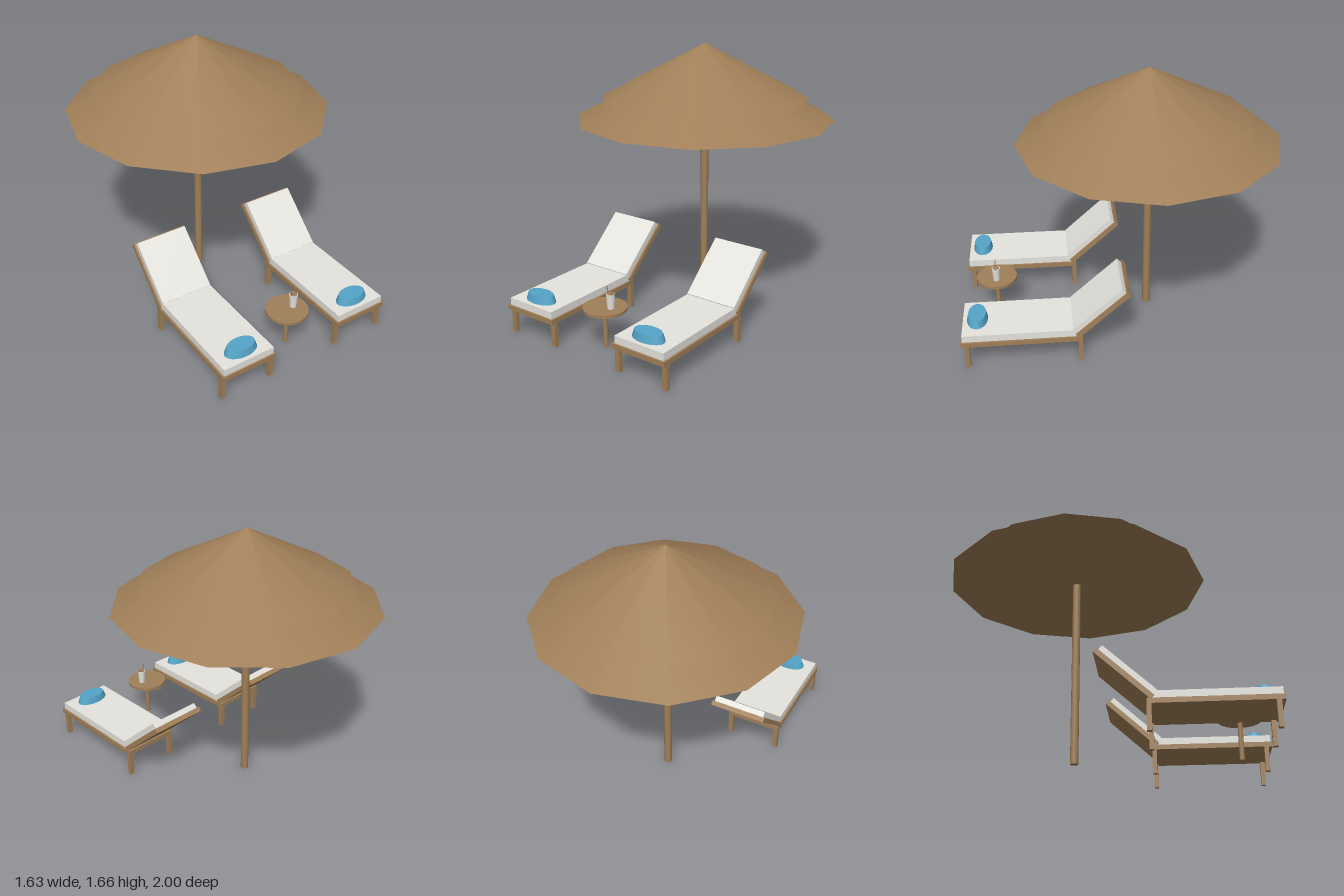
import * as THREE from 'three';

const mat = (name, color) => {
  const m = new THREE.MeshStandardMaterial({ color });
  m.name = name;
  return m;
};

export function createModel() {
  const wood = mat('wood', 0xa07f58);
  const fabric = mat('fabric', 0xe4e3dd);
  const blue = mat('blue', 0x54a5c8);

  const add = (parent, name, geometry, material, x, y, z) => {
    const m = new THREE.Mesh(geometry, material);
    m.name = name;
    m.position.set(x, y, z);
    parent.add(m);
    return m;
  };
  const box = (w, h, d) => new THREE.BoxGeometry(w, h, d);
  const cyl = (top, bottom, h, sides) => new THREE.CylinderGeometry(top, bottom, h, sides);

  const model = new THREE.Group();
  model.name = 'beachSet';

  // Two-tier thatched parasol
  const parasol = new THREE.Group();
  parasol.name = 'parasol';
  parasol.position.z = -0.185;
  add(parasol, 'pole', cyl(0.025, 0.025, 1.3, 12), wood, 0, 0.65, 0);
  add(parasol, 'lowerCanopy', new THREE.ConeGeometry(0.815, 0.41, 12), wood, 0, 1.395, 0);
  add(parasol, 'upperCanopy', new THREE.ConeGeometry(0.65, 0.34, 12), wood, 0, 1.49, 0);
  model.add(parasol);

  // Sun loungers, one on each side
  for (const side of [-1, 1]) {
    const lounger = new THREE.Group();
    lounger.name = side > 0 ? 'leftLounger' : 'rightLounger';
    lounger.position.x = side * 0.409;
    add(lounger, 'seatFrame', box(0.362, 0.03, 0.73), wood, 0, 0.165, 0.635);
    add(lounger, 'seatCushion', box(0.338, 0.045, 0.69), fabric, 0, 0.2025, 0.645);
    for (const x of [-0.164, 0.164])
      for (const z of [0.282, 0.963])
        add(lounger, 'leg', box(0.031, 0.15, 0.027), wood, x, 0.075, z);

    // Reclined backrest, hinged at the rear of the seat
    const back = new THREE.Group();
    back.name = 'backrest';
    back.position.set(0, 0.175, 0.29);
    back.rotation.x = 0.742;
    add(back, 'backFrame', box(0.362, 0.03, 0.42), wood, 0, 0.015, -0.21);
    add(back, 'backCushion', box(0.338, 0.035, 0.4), fabric, 0, 0.0475, -0.21);
    lounger.add(back);

    // Oval folded towel
    const towel = add(lounger, 'towel', cyl(0.09, 0.106, 0.045, 20), blue, 0, 0.2475, 0.902);
    towel.scale.z = 0.6;
    model.add(lounger);
  }

  // Round side table
  const table = new THREE.Group();
  table.name = 'sideTable';
  table.position.z = 0.795;
  add(table, 'tableTop', cyl(0.13, 0.13, 0.018, 24), wood, 0, 0.248, 0);
  add(table, 'tableLeg', cyl(0.015, 0.015, 0.24, 10), wood, 0, 0.12, 0);

  // Drink with a garnish and a straw
  add(table, 'cup', cyl(0.027, 0.021, 0.09, 14), fabric, 0.045, 0.302, 0);
  add(table, 'drink', cyl(0.022, 0.022, 0.004, 14), wood, 0.045, 0.348, 0);
  const straw = add(table, 'straw', cyl(0.0035, 0.0035, 0.06, 6), wood, 0.029, 0.36, 0.004);
  straw.rotation.z = 0.25;
  const garnish = add(table, 'garnish', cyl(0.012, 0.012, 0.005, 10), wood, 0.062, 0.35, 0);
  garnish.rotation.x = Math.PI / 2;
  model.add(table);

  return model;
}
